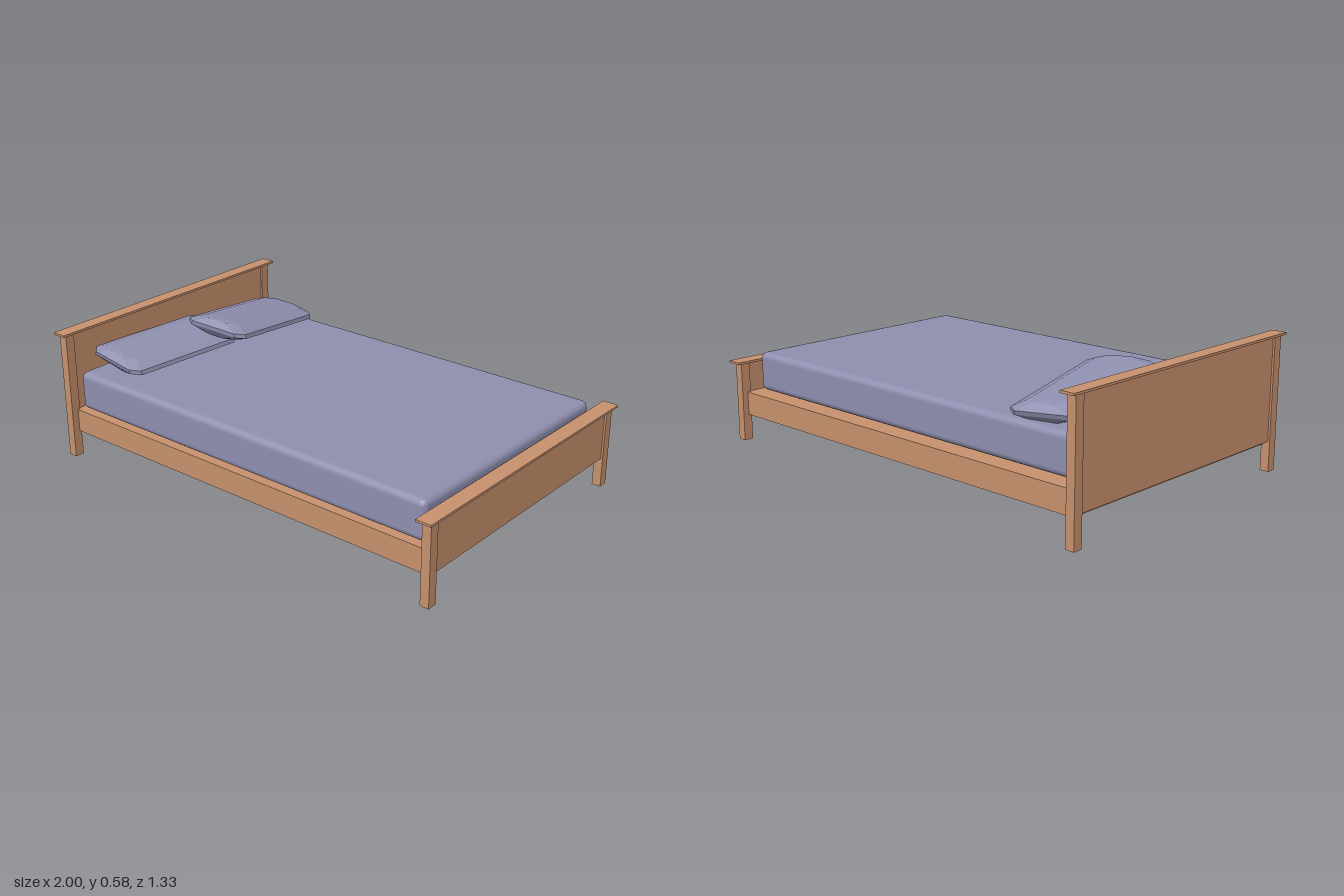
import * as THREE from 'three';
import { RoundedBoxGeometry } from 'three/addons/geometries/RoundedBoxGeometry.js';
import { ConvexGeometry } from 'three/addons/geometries/ConvexGeometry.js';

const wood = new THREE.MeshStandardMaterial({ color: 0xc8916e });
const fabric = new THREE.MeshStandardMaterial({ color: 0x8f8fb0 });
const pillowFabric = fabric.clone();
pillowFabric.flatShading = true;

// Box given by its minimum and maximum on each axis
function box(name, [x0, x1], [y0, y1], [z0, z1]) {
  const mesh = new THREE.Mesh(new THREE.BoxGeometry(x1 - x0, y1 - y0, z1 - z0), wood);
  mesh.name = name;
  mesh.position.set((x0 + x1) / 2, (y0 + y1) / 2, (z0 + z1) / 2);
  return mesh;
}

// Two posts, a recessed panel and an overhanging cap
function endBoard(name, x, capX, top) {
  const group = new THREE.Group();
  group.name = name;
  const capBottom = top - 0.01;
  for (const [side, z] of [['left', [0.597, 0.64]], ['right', [-0.64, -0.597]]]) {
    group.add(box(side + 'Post', [x - 0.02, x + 0.02], [0, capBottom], z));
  }
  group.add(box('panel', [x - 0.011, x + 0.011], [0.13, capBottom], [-0.597, 0.597]));
  group.add(box('cap', capX, [capBottom, top], [-0.663, 0.663]));
  return group;
}

// Cushion: stacked octagonal outlines, widest along the side seam
function pillow(name, position, turn, pitch, roll) {
  const points = [];
  const rings = [[-0.037, 0.075, 0.035], [-0.006, 0, 0.004], [0.012, 0.006, 0], [0.036, 0.07, 0.03]];
  for (const [y, insetX, insetZ] of rings) {
    const hx = 0.16 - insetX, hz = 0.305 - insetZ;
    for (const sx of [-1, 1]) for (const sz of [-1, 1]) {
      points.push(new THREE.Vector3(sx * hx, y, sz * (hz - 0.035)));
      points.push(new THREE.Vector3(sx * (hx - 0.04), y, sz * hz));
    }
  }
  // Slightly raised crown down the middle
  for (const z of [-0.25, 0.25]) points.push(new THREE.Vector3(0, 0.04, z));
  const mesh = new THREE.Mesh(new ConvexGeometry(points), pillowFabric);
  mesh.name = name;
  mesh.position.set(...position);
  mesh.rotation.set(pitch, turn, roll, 'YXZ');
  return mesh;
}

export function createModel() {
  const bed = new THREE.Group();
  bed.name = 'bed';

  bed.add(endBoard('headboard', -0.97, [-1, -0.935], 0.585));
  bed.add(endBoard('footboard', 0.965, [0.93, 1], 0.362));
  bed.add(box('bedBase', [-0.96, 0.955], [0.115, 0.218], [-0.613, 0.608]));

  const mattress = new THREE.Mesh(new RoundedBoxGeometry(1.855, 0.173, 1.152, 2, 0.028), fabric);
  mattress.name = 'mattress';
  mattress.position.set(-0.007, 0.3105, 0.017);
  bed.add(mattress);

  bed.add(pillow('leftPillow', [-0.795, 0.443, 0.205], -0.07, 0, -0.1));
  bed.add(pillow('rightPillow', [-0.69, 0.466, -0.238], 0.145, -0.135, -0.08));
  return bed;
}
